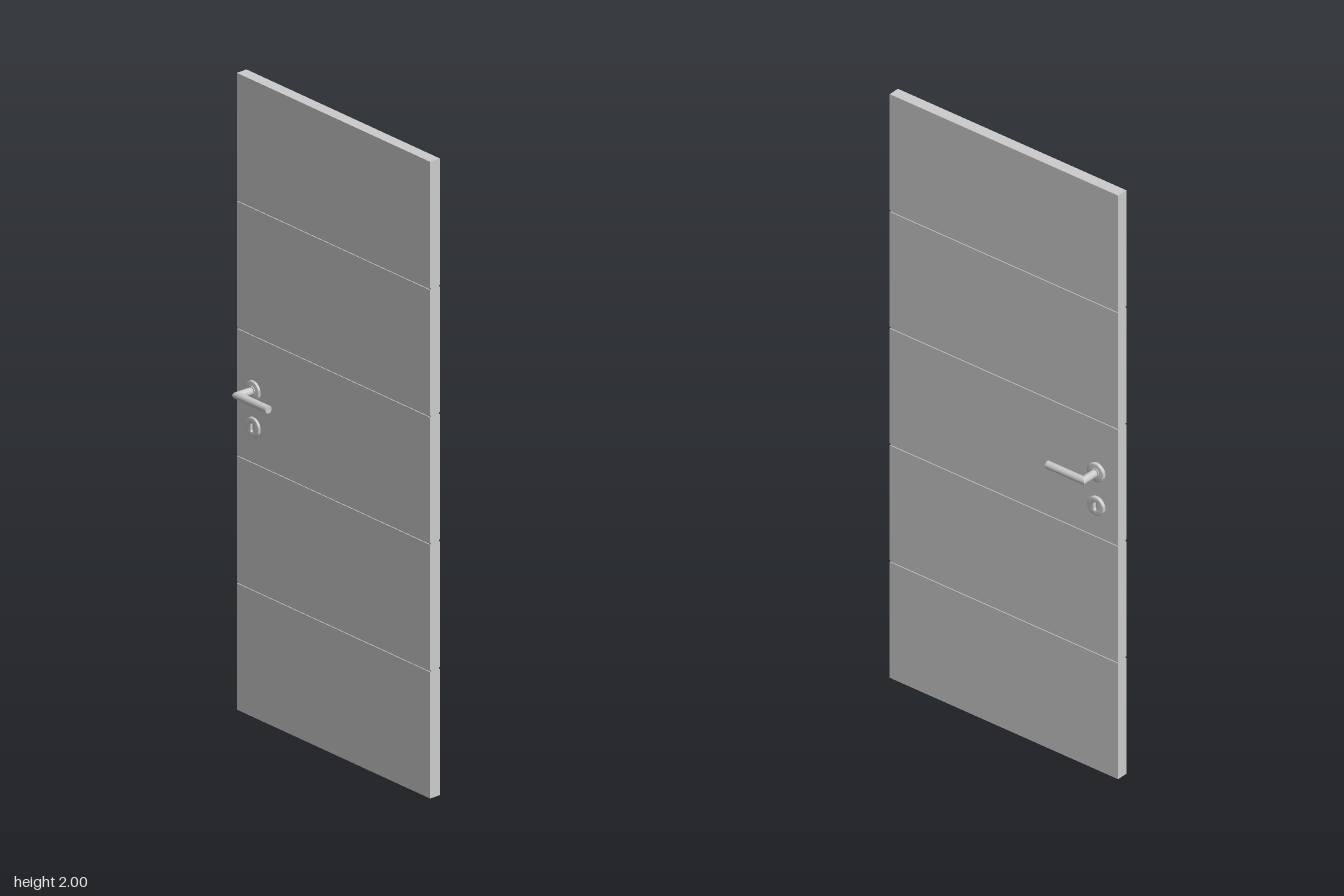
import * as THREE from 'three';
import { toCreasedNormals } from 'three/addons/utils/BufferGeometryUtils.js';

const material = new THREE.MeshStandardMaterial({ color: 0xcccccc });

// Door leaf
const X0 = -0.0235, X1 = 0.0138, HEIGHT = 2, HALF_WIDTH = 0.4255;
const GROOVES = [0.4, 0.8, 1.2, 1.6], GROOVE_HALF = 0.003, GROOVE_DEPTH = 0.003;
// Handle set
const MID_X = -0.001, HANDLE_Z = -0.3515, HANDLE_Y = 1.027, LOCK_Y = 0.912;
const BAR_R = 0.012, CORNER_X = 0.0817, LEVER_END_Z = 0.1345;
const ROSE_R = 0.031, ROSE_IN = 0.018, ROSE_OUT = 0.03;

function add(parent, name, geometry) {
  const mesh = new THREE.Mesh(geometry, material);
  mesh.name = name;
  parent.add(mesh);
  return mesh;
}

// Section of the leaf with a shallow groove on both faces, swept across its width
function leafGeometry() {
  const s = new THREE.Shape();
  s.moveTo(X0, 0);
  s.lineTo(X1, 0);
  const notch = (x, y, dir, inward) => {
    s.lineTo(x, y - dir * GROOVE_HALF);
    s.lineTo(x + inward, y - dir * GROOVE_HALF);
    s.lineTo(x + inward, y + dir * GROOVE_HALF);
    s.lineTo(x, y + dir * GROOVE_HALF);
  };
  for (const y of GROOVES) notch(X1, y, 1, -GROOVE_DEPTH);
  s.lineTo(X1, HEIGHT);
  s.lineTo(X0, HEIGHT);
  for (const y of [...GROOVES].reverse()) notch(X0, y, -1, GROOVE_DEPTH);
  s.closePath();
  const g = new THREE.ExtrudeGeometry(s, { depth: 2 * HALF_WIDTH, bevelEnabled: false });
  return g.translate(0, 0, -HALF_WIDTH);
}

// Round plate with a softened rim, optionally pierced by a key slot
function roseGeometry(side, slotted) {
  const bevel = 0.0025;
  const s = new THREE.Shape();
  s.absarc(0, 0, ROSE_R - bevel, 0, Math.PI * 2);
  if (slotted) {
    const slot = new THREE.Path();
    slot.absarc(0, 0.009, 0.0075, 0, Math.PI, false);
    slot.absarc(0, -0.009, 0.0075, Math.PI, Math.PI * 2, false);
    slot.closePath();
    s.holes.push(slot);
  }
  const g = new THREE.ExtrudeGeometry(s, {
    depth: ROSE_OUT - ROSE_IN - 2 * bevel, curveSegments: 20,
    bevelThickness: bevel, bevelSize: bevel, bevelSegments: 3,
  });
  g.translate(0, 0, ROSE_IN + bevel).rotateY(side * Math.PI / 2);
  return toCreasedNormals(g, 0.6);
}

// Neck running outward along x, its outer end cut to the mitre
function neckGeometry(side) {
  const g = new THREE.CylinderGeometry(BAR_R, BAR_R, CORNER_X, 32, 1, true);
  g.rotateZ(-side * Math.PI / 2).translate(side * CORNER_X / 2, 0, 0);
  const p = g.attributes.position;
  for (let i = 0; i < p.count; i++) {
    if (side * p.getX(i) > CORNER_X / 2) p.setX(i, side * (CORNER_X - p.getZ(i)));
  }
  return g;
}

// Grip running along z, its start cut to the same mitre
function gripGeometry(side) {
  const g = new THREE.CylinderGeometry(BAR_R, BAR_R, LEVER_END_Z, 32);
  g.rotateX(Math.PI / 2).translate(0, 0, LEVER_END_Z / 2);
  const p = g.attributes.position;
  for (let i = 0; i < p.count; i++) {
    if (p.getZ(i) < LEVER_END_Z / 2) p.setZ(i, -side * p.getX(i));
  }
  return g.translate(side * CORNER_X, 0, 0);
}

export function createModel() {
  const model = new THREE.Group();
  model.name = 'door';
  add(model, 'doorLeaf', leafGeometry());

  for (const side of [1, -1]) {
    const label = side > 0 ? 'left' : 'right';

    // Lever handle
    const handle = new THREE.Group();
    handle.name = label + 'Handle';
    handle.position.set(MID_X, HANDLE_Y, HANDLE_Z);
    add(handle, 'handleRose', roseGeometry(side, false));
    add(handle, 'handleNeck', neckGeometry(side));
    add(handle, 'handleGrip', gripGeometry(side));
    const collar = new THREE.CylinderGeometry(0.016, 0.016, 0.014, 32);
    collar.rotateZ(Math.PI / 2).translate(side * 0.026, 0, 0);
    add(handle, 'handleCollar', collar);
    model.add(handle);

    // Keyhole plate
    const plate = add(model, label + 'KeyholePlate', roseGeometry(side, true));
    plate.position.set(MID_X, LOCK_Y, HANDLE_Z);
  }
  return model;
}
